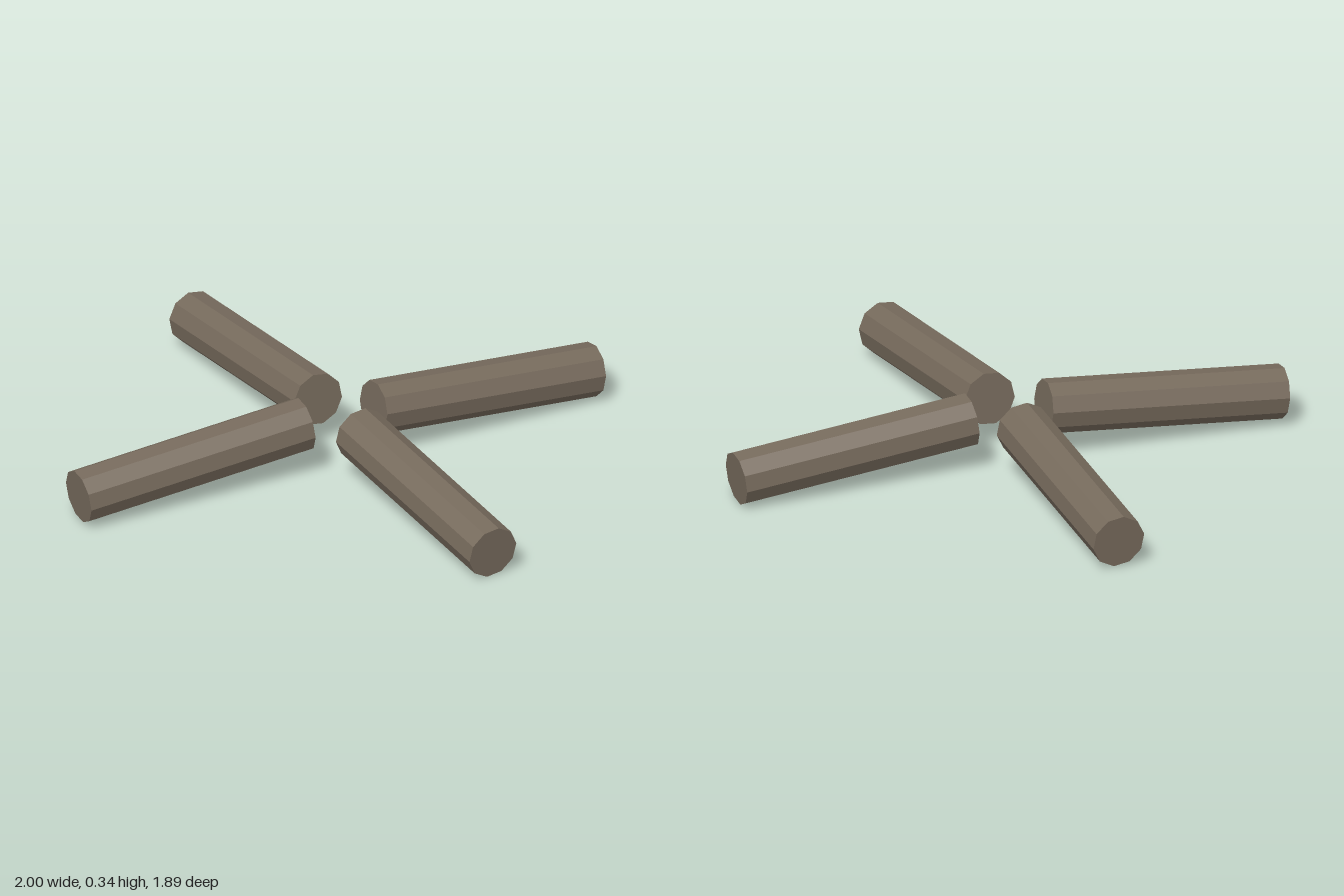
import * as THREE from 'three';

export function createModel() {
  const model = new THREE.Group();
  model.name = 'logs';

  const wood = new THREE.MeshStandardMaterial({ color: 0x766a5c, flatShading: true });
  wood.name = 'weatheredWood';

  const up = new THREE.Vector3(0, 1, 0);

  // A ten-sided log running from its raised inner end to its low outer end
  function addLog(name, inner, outer) {
    const a = new THREE.Vector3(...inner);
    const b = new THREE.Vector3(...outer);
    const dir = b.clone().sub(a);
    const log = new THREE.Mesh(new THREE.CylinderGeometry(0.118, 0.118, dir.length(), 10), wood);
    log.name = name;
    log.position.copy(a).add(b).multiplyScalar(0.5);
    log.quaternion.setFromUnitVectors(up, dir.normalize());
    model.add(log);
  }

  // Four logs laid in a cross, leaving a gap in the middle
  addLog('frontLeftLog', [0.125, 0.22, 0.128], [0.917, 0.122, 0.856]);
  addLog('frontRightLog', [-0.125, 0.227, 0.128], [-0.918, 0.135, 0.856]);
  addLog('backLeftLog', [0.123, 0.22, -0.11], [0.883, 0.124, -0.869]);
  addLog('backRightLog', [-0.123, 0.224, -0.11], [-0.885, 0.128, -0.869]);

  return model;
}
